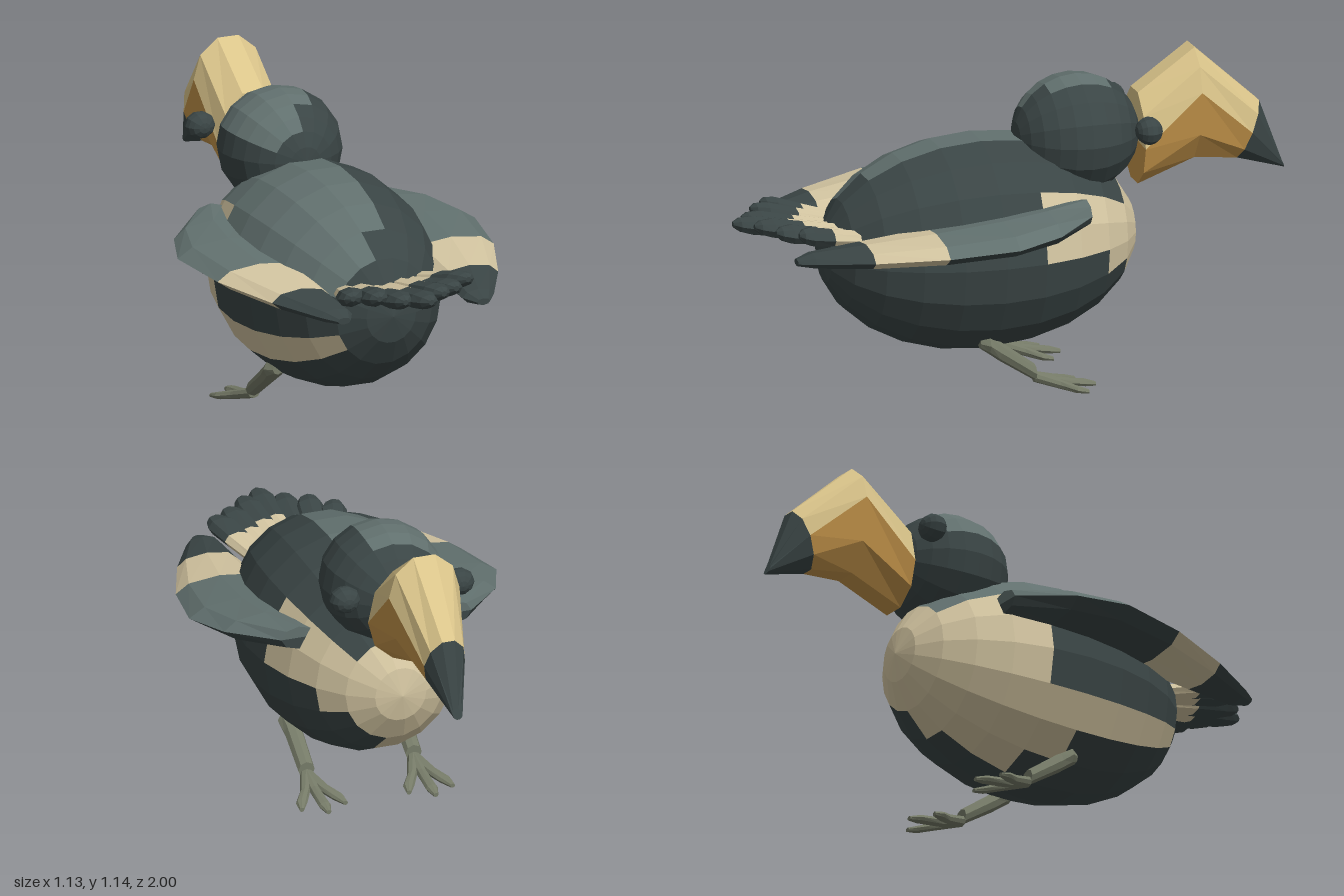
import * as THREE from 'three';

const mat = (name, color, flatShading = true) => {
  const m = new THREE.MeshStandardMaterial({ color, flatShading });
  m.name = name;
  return m;
};

// Cross-section in the xy plane, counter-clockwise from +x; lean shifts z with height
function ring(x, y, z, rx, up, down = up, n = 8, lean = 0) {
  return Array.from({ length: n }, (_, j) => {
    const a = (j / n) * Math.PI * 2;
    const s = Math.sin(a), dy = s * (s > 0 ? up : down);
    return new THREE.Vector3(x + Math.cos(a) * rx, y + dy, z + dy * lean);
  });
}

// Faceted skin over rings ordered from -z to +z, closed at both ends;
// paint(i, j) picks the material of each panel
function loft(name, rings, paint) {
  const centre = r => r.reduce((s, p) => s.add(p), new THREE.Vector3()).divideScalar(r.length);
  const n = rings[0].length;
  const first = Array(n).fill(centre(rings[0])), last = Array(n).fill(centre(rings[rings.length - 1]));
  const all = [first, ...rings, last];
  const buckets = new Map();
  for (let i = 0; i < all.length - 1; i++) {
    for (let j = 0; j < n; j++) {
      const k = (j + 1) % n;
      const m = paint(Math.min(Math.max(i - 1, 0), rings.length - 2), j);
      if (!buckets.has(m)) buckets.set(m, []);
      const out = buckets.get(m);
      const [a, b, c, d] = [all[i][j], all[i][k], all[i + 1][k], all[i + 1][j]];
      if (!a.equals(b)) out.push(a, b, c);
      if (!c.equals(d)) out.push(a, c, d);
    }
  }
  const geo = new THREE.BufferGeometry(), pts = [], mats = [];
  for (const [m, list] of buckets) {
    geo.addGroup(pts.length, list.length, mats.length);
    mats.push(m);
    pts.push(...list);
  }
  geo.setFromPoints(pts);
  geo.computeVertexNormals();
  const mesh = new THREE.Mesh(geo, mats);
  mesh.name = name;
  return mesh;
}

// Ellipsoid with its poles along z
function ball(name, [x, y, z], [rx, ry, rz], n, rows, paint) {
  const rings = [];
  for (let i = 0; i <= rows; i++) {
    const t = (i / rows) * Math.PI, s = Math.max(Math.sin(t), 1e-4);
    rings.push(ring(x, y, z - Math.cos(t) * rz, rx * s, ry * s, ry * s, n));
  }
  return loft(name, rings, paint);
}

export function createModel() {
  const black = mat('black plumage', 0x3a4545);
  const slate = mat('slate plumage', 0x61706e);
  const cream = mat('cream plumage', 0xd2c4a0);
  const horn = mat('pale beak', 0xdac48a);
  const orange = mat('orange beak', 0xc4944a);
  const olive = mat('olive legs', 0x757a67);

  const bird = new THREE.Group();
  bird.name = 'bird';

  // Body: cream chest patches reach a different number of rows in each column
  const chest = [5, 5, 2, 2, 2, 2, 2, 5, 5, 5, 10, 6, 5, 3, 2, 2, 2, 3];
  bird.add(ball('body', [0, 0.51, 0.12], [0.365, 0.38, 0.57], 18, 12, (i, j) => {
    if (i < chest[j]) return cream;
    return j >= 4 && j <= 7 && i < (j === 4 ? 9 : 10) ? slate : black;
  }));

  // Head
  bird.add(ball('head', [0, 0.865, -0.24], [0.217, 0.21, 0.222], 16, 12,
    (i, j) => (j >= 3 && j <= 6 && i >= 4 && i < (j === 3 ? 8 : 10) ? slate : black)));

  // Beak: dark tip, pale ridge, orange lower sides
  bird.add(loft('beak', [
    ring(0, 0.68, -0.99, 0.018, 0.02, 0.016, 10, 0.4),
    ring(0, 0.82, -0.86, 0.075, 0.105, 0.105, 10, -0.4),
    ring(0, 1.0, -0.66, 0.13, 0.147, 0.27, 10),
    ring(0, 0.815, -0.455, 0.13, 0.19, 0.155, 10),
  ], (i, j) => (i === 0 ? black : j < 5 ? horn : orange)));

  // Tail fan
  const tail = new THREE.Group();
  tail.name = 'tail';
  const tipZ = [1.0, 0.945, 0.89, 0.83];
  for (let k = -3; k <= 3; k++) {
    const tx = k * 0.073, tz = tipZ[Math.abs(k)];
    const at = (t, w, h) => ring(tx * (0.5 + 0.5 * t), 0.575 + 0.075 * t + (k % 2) * 0.006,
      0.5 + (tz - 0.5) * t, w, h);
    tail.add(loft('tailFeather', [
      at(0, 0.035, 0.025), at(0.6, 0.05, 0.03), at(0.85, 0.052, 0.034),
      at(0.95, 0.035, 0.025), at(1, 0.01, 0.01),
    ], i => (i === 0 ? cream : black)));
  }
  bird.add(tail);

  // Wing stations: z, inner x, outer x, half thickness
  const stations = [
    [-0.19, 0.22, 0.35, 0.042], [-0.03, 0.2, 0.5, 0.05], [0.14, 0.18, 0.565, 0.05],
    [0.38, 0.2, 0.525, 0.046], [0.62, 0.21, 0.43, 0.038], [0.8, 0.21, 0.33, 0.025],
    [0.855, 0.24, 0.29, 0.012],
  ];
  for (const s of [1, -1]) {
    const side = s > 0 ? 'left' : 'right';

    bird.add(loft(side + 'Wing',
      stations.map(([z, a, b, h]) => ring(s * (a + b) / 2, 0.65 - 0.085 * z, z, (b - a) / 2, h)),
      (i, j) => (i === 3 ? cream : i < 3 && j < 4 ? slate : black)));

    bird.add(ball(side + 'Eye', [s * 0.21, 0.91, -0.44], [0.055, 0.049, 0.047], 10, 8, () => black));

    // Leg and three forward toes
    const x = s * 0.197;
    bird.add(loft(side + 'Leg', [
      ring(x, 0.075, -0.03, 0.03, 0.03), ring(x, 0.165, 0.1, 0.033, 0.036),
      ring(x, 0.195, 0.14, 0.042, 0.036), ring(x, 0.2, 0.17, 0.02, 0.02),
    ], () => olive));
    for (const k of [-1, 0, 1]) {
      const reach = k ? 0.2 : 0.25;
      bird.add(loft(side + 'Toe', [
        ring(x + k * 0.08, 0.012, -reach, 0.009, 0.008),
        ring(x + k * 0.066, 0.02, -reach + 0.04, 0.022, 0.014),
        ring(x + k * 0.035, 0.034, -0.11, 0.019, 0.017),
        ring(x, 0.06, -0.025, 0.022, 0.02),
      ], () => olive));
    }
  }
  return bird;
}
